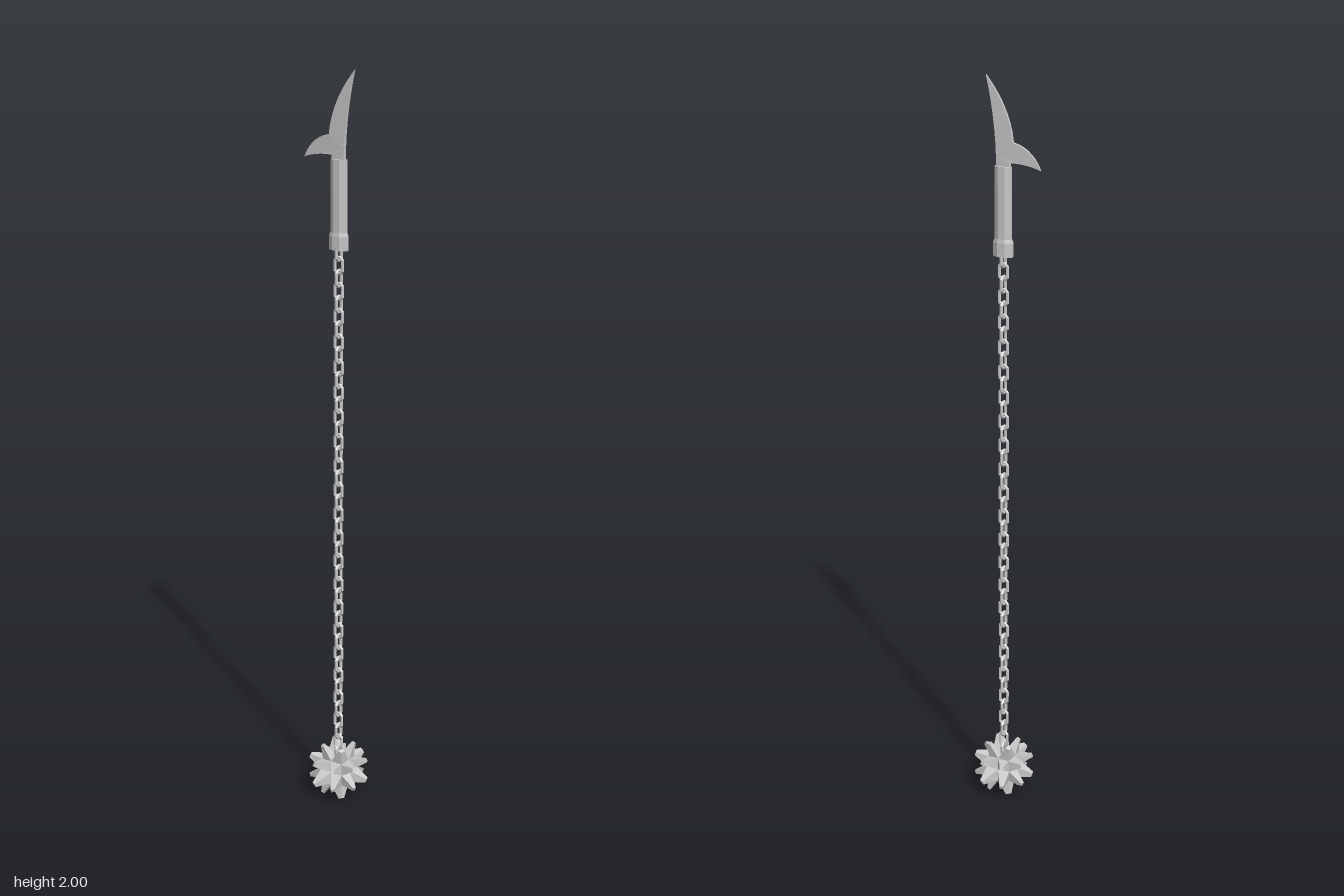
import * as THREE from 'three';
import { mergeGeometries } from 'three/addons/utils/BufferGeometryUtils.js';

const AXIS_X = 0.0125;   // shared vertical axis of handle, chain and ball
const material = new THREE.MeshStandardMaterial({ color: 0xcccccc, flatShading: true });

function addMesh(parent, name, geometry) {
  const mesh = new THREE.Mesh(geometry, material);
  mesh.name = name;
  parent.add(mesh);
  return mesh;
}

// One spike: a quarter of a softened cube face drawn out to a small square tip
function spikeGeometry() {
  const base = [[0, 0, 0.036], [0.035, 0, 0.035], [0.031, 0.031, 0.031], [0, 0.035, 0.035]]
    .map((p) => new THREE.Vector3(...p));
  const centre = new THREE.Vector3();
  base.forEach((p) => centre.addScaledVector(p, 0.25));
  const tipCentre = new THREE.Vector3(0.031, 0.031, 0.0735);
  const direction = tipCentre.clone().normalize();
  const tip = base.map((p) => p.clone().sub(centre).projectOnPlane(direction)
    .multiplyScalar(0.33).add(tipCentre));
  const points = [];
  const quad = (a, b, c, d) => [a, b, c, a, c, d].forEach((p) => points.push(p));
  for (let i = 0; i < 4; i++) {
    const j = (i + 1) % 4;
    quad(base[i], base[j], tip[j], tip[i]);
  }
  quad(...tip);
  const geometry = new THREE.BufferGeometry().setFromPoints(points);
  geometry.computeVertexNormals();
  return geometry;
}

// Ball: four spikes on each of the six cube faces
function ballGeometry() {
  const q = Math.PI / 2;
  const faces = [[0, 0], [0, q], [0, 2 * q], [0, 3 * q], [q, 0], [-q, 0]];
  const spikes = [];
  for (const [rx, ry] of faces) {
    for (let k = 0; k < 4; k++) {
      spikes.push(spikeGeometry().rotateZ(k * q).rotateX(rx).rotateY(ry));
    }
  }
  return mergeGeometries(spikes);
}

// Chain link: a ring pulled apart along y into an oval
function linkGeometry() {
  const geometry = new THREE.TorusGeometry(0.0122, 0.0045, 6, 8);
  geometry.rotateZ(Math.PI / 8);
  const p = geometry.attributes.position;
  for (let i = 0; i < p.count; i++) p.setY(i, p.getY(i) + Math.sign(p.getY(i)) * 0.0093);
  geometry.computeVertexNormals();
  return geometry;
}

// Curved blade with a side hook, thinning towards its points
function bladeGeometry() {
  const shape = new THREE.Shape();
  shape.moveTo(-0.006, 1.77);
  shape.lineTo(0.03, 1.77);
  shape.quadraticCurveTo(0.03, 1.88, 0.06, 2.0);
  shape.quadraticCurveTo(-0.008, 1.92, -0.015, 1.838);
  shape.quadraticCurveTo(-0.07, 1.826, -0.092, 1.775);
  shape.quadraticCurveTo(-0.05, 1.789, -0.006, 1.787);
  shape.closePath();
  const geometry = new THREE.ExtrudeGeometry(shape, { depth: 0.01, bevelEnabled: false, curveSegments: 7 });
  geometry.translate(0, 0, -0.005);
  const p = geometry.attributes.position;
  for (let i = 0; i < p.count; i++) {
    const away = Math.max(-p.getX(i) / 0.092, (p.getY(i) - 1.8) / 0.2, 0);
    p.setZ(i, p.getZ(i) * (1 - 0.65 * away));
  }
  geometry.computeVertexNormals();
  return geometry;
}

export function createModel() {
  const model = new THREE.Group();
  model.name = 'chainWeapon';

  addMesh(model, 'spikedBall', ballGeometry()).position.set(AXIS_X, 0.0775, 0);

  // Links alternate by a quarter turn
  const chain = new THREE.Group();
  chain.name = 'chain';
  model.add(chain);
  const link = linkGeometry();
  for (let i = 0; i < 43; i++) {
    const mesh = addMesh(chain, 'chainLink', link);
    mesh.position.set(AXIS_X, 1.541 - i * 0.03373, 0);
    mesh.rotation.y = i % 2 ? 0 : Math.PI / 2;
  }

  // Oval grip with a wider collar at its foot
  const profile = [[0, 1.547], [0.0255, 1.547], [0.0255, 1.583], [0.022, 1.593], [0.022, 1.777], [0, 1.777]]
    .map(([r, y]) => new THREE.Vector2(r, y));
  const handle = new THREE.LatheGeometry(profile, 8);
  handle.rotateY(Math.PI / 8).scale(1.1, 1, 0.6);
  addMesh(model, 'handle', handle).position.x = AXIS_X;

  addMesh(model, 'hookedBlade', bladeGeometry());
  return model;
}
